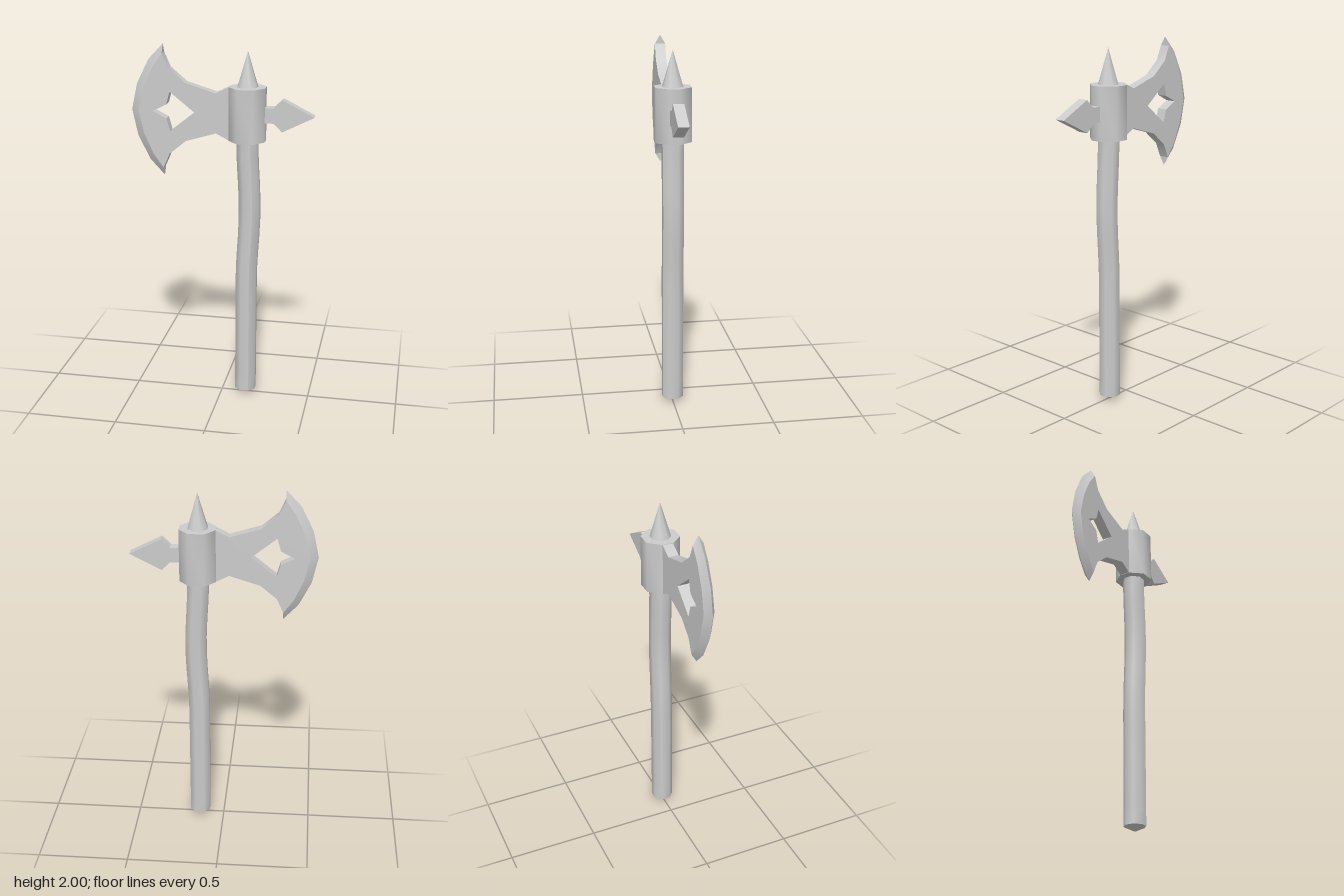
import * as THREE from 'three';
import { toCreasedNormals } from 'three/addons/utils/BufferGeometryUtils.js';

const CX = 0.137;       // axis of handle and collar
const MID = 1.638;      // height of the head's mirror line
const HALF = 0.029;     // half thickness of the flat parts
const SIDES = 8;
const TURN = Math.PI / SIDES;

const material = new THREE.MeshStandardMaterial({ color: 0xcccccc });

function add(group, name, geometry) {
  const mesh = new THREE.Mesh(geometry, material);
  mesh.name = name;
  group.add(mesh);
  return mesh;
}

// Upper points [x, height above MID], completed by their mirror image below.
function mirrored(points) {
  const below = points.filter(p => p[1] > 0).reverse().map(([x, y]) => [x, -y]);
  return [...points, ...below].map(([x, y]) => new THREE.Vector2(x, y + MID));
}

function plate(outline, hole) {
  const shape = new THREE.Shape(outline);
  if (hole) shape.holes.push(new THREE.Path(hole));
  const g = new THREE.ExtrudeGeometry(shape, { depth: 2 * HALF, bevelEnabled: false });
  g.translate(0, 0, -HALF);
  return toCreasedNormals(g, 0.6);
}

// Sharpened rim between the plate's border and the cutting edge at z = 0.
function cuttingEdge(inner, outer) {
  const pos = [];
  const at = (p, z) => [p.x, p.y, z];
  const tri = (...pts) => pts.forEach(p => pos.push(...p));
  const n = outer.length - 1;
  for (let i = 0; i < n; i++) {
    const a = at(outer[i], 0), b = at(outer[i + 1], 0);
    for (const s of [1, -1]) {
      const c = at(inner[i + 1], s * HALF), d = at(inner[i], s * HALF);
      if (s > 0) { tri(a, b, c); tri(a, c, d); }
      else { tri(a, c, b); tri(a, d, c); }
    }
  }
  tri(at(outer[0], 0), at(inner[0], HALF), at(inner[0], -HALF));
  tri(at(outer[n], 0), at(inner[n], -HALF), at(inner[n], HALF));
  const g = new THREE.BufferGeometry();
  g.setAttribute('position', new THREE.Float32BufferAttribute(pos, 3));
  return toCreasedNormals(g, 0.6);
}

export function createModel() {
  const model = new THREE.Group();
  model.name = 'battleAxe';

  // Handle: straight below, with a gentle bow in the upper half
  const base = 0.028, top = 1.52;
  const handle = new THREE.CylinderGeometry(0.061, 0.061, top - base, SIDES, 16, true);
  handle.rotateY(TURN).translate(CX, (top + base) / 2, 0);
  const p = handle.attributes.position;
  for (let i = 0; i < p.count; i++) {
    const t = THREE.MathUtils.clamp((p.getY(i) - 0.7) / 0.8, 0, 1);
    p.setX(i, p.getX(i) + 0.016 * Math.sin(Math.PI * t) ** 2);
  }
  handle.computeVertexNormals();
  add(model, 'handle', handle);

  // Shallow pointed butt
  const butt = new THREE.ConeGeometry(0.061, base, SIDES, 1, true);
  butt.rotateX(Math.PI).rotateY(TURN).translate(CX, base / 2, 0);
  add(model, 'handleButt', butt);

  // Eight-sided collar
  const ring = [[0.097, 0.03], [0.042, 0.095], [-0.042, 0.095], [-0.097, 0.03]];
  const collarShape = new THREE.Shape(
    [...ring, ...ring.map(([x, y]) => [-x, -y])].map(q => new THREE.Vector2(...q)));
  const collar = new THREE.ExtrudeGeometry(collarShape, { depth: 0.29, bevelEnabled: false });
  collar.rotateX(-Math.PI / 2).translate(CX, 1.493, 0);
  add(model, 'collar', toCreasedNormals(collar, 0.9));

  // Top spike
  const spike = new THREE.ConeGeometry(0.057, 0.19, SIDES, 1, true);
  spike.rotateY(TURN).translate(CX, 1.783 + 0.095, 0);
  add(model, 'topSpike', spike);

  // Crescent blade: pierced plate plus sharpened rim
  const blade = new THREE.Group();
  blade.name = 'blade';
  model.add(blade);
  const rim = [[-0.32, 0.312], [-0.375, 0.235], [-0.425, 0.125], [-0.453, 0]];
  const edge = [[-0.32, 0.36], [-0.4, 0.275], [-0.466, 0.143], [-0.497, 0]];
  const neck = [[0.06, 0.143], [0.04, 0.143], [-0.03, 0.108], [-0.195, 0.158], [-0.285, 0.233]];
  const hole = [[-0.145, 0], [-0.28, 0.108], [-0.3, 0.038], [-0.375, 0]];
  add(blade, 'bladePlate', plate(mirrored([...neck, ...rim]), mirrored(hole)));
  add(blade, 'cuttingEdge', cuttingEdge(mirrored(rim), mirrored(edge)));

  // Arrow-shaped spike opposite the blade
  const arrow = [[0.21, 0.041], [0.282, 0.041], [0.327, 0.086], [0.497, 0]];
  add(model, 'rearSpike', plate(mirrored(arrow)));

  return model;
}
